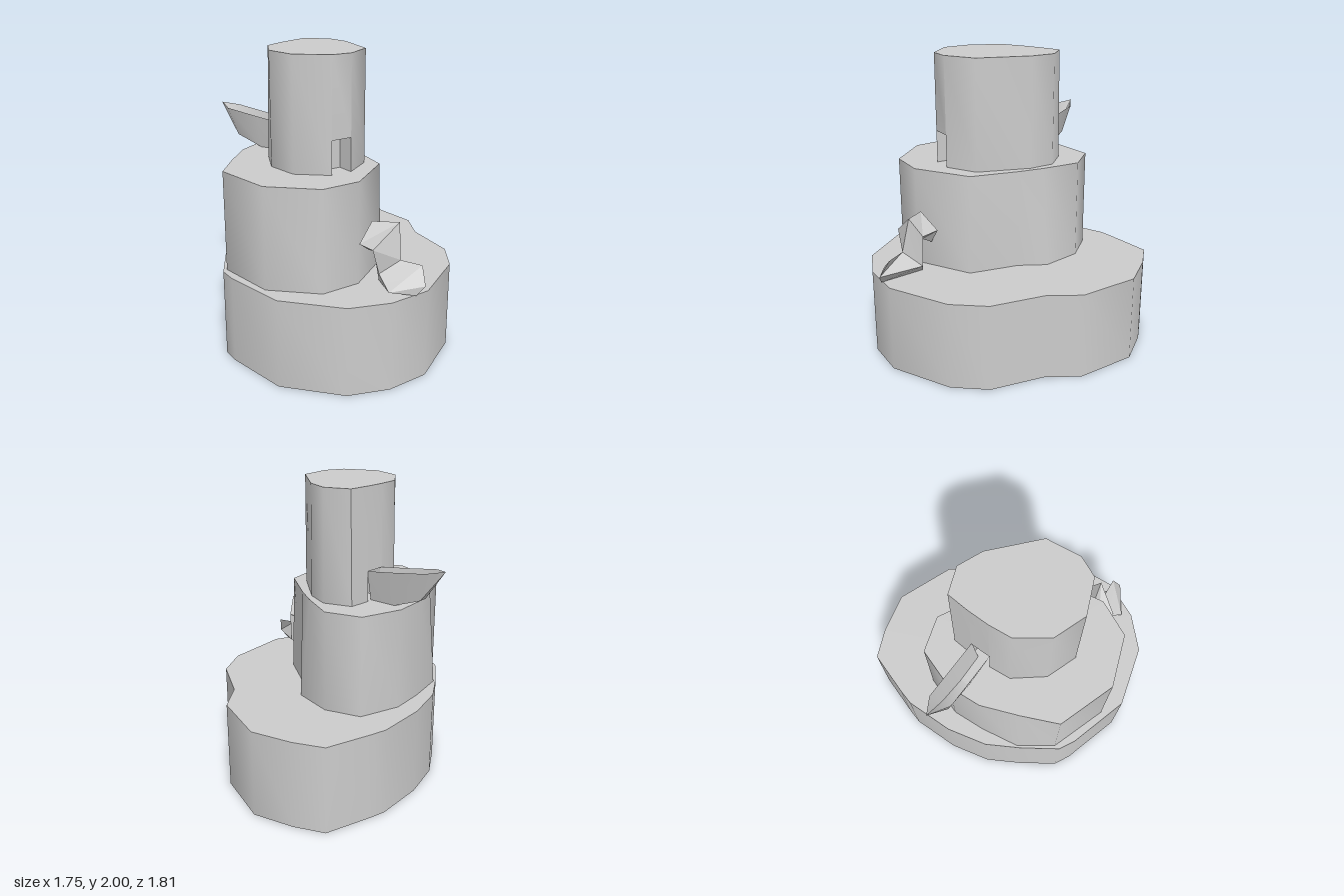
import * as THREE from 'three';
import { toCreasedNormals } from 'three/addons/utils/BufferGeometryUtils.js';

const material = new THREE.MeshStandardMaterial({ color: 0xcccccc });
const thinMaterial = new THREE.MeshStandardMaterial({ color: 0xcccccc, side: THREE.DoubleSide });

// Collects quads and triangles into one mesh; crease is the smoothing angle in radians.
function makeMesh(name, faces, crease, mat = material) {
  const pos = [];
  for (const f of faces) {
    for (let i = 1; i < f.length - 1; i++) pos.push(...f[0], ...f[i], ...f[i + 1]);
  }
  const geo = new THREE.BufferGeometry();
  geo.setAttribute('position', new THREE.Float32BufferAttribute(pos, 3));
  const mesh = new THREE.Mesh(toCreasedNormals(geo, crease), mat);
  mesh.name = name;
  return mesh;
}

// Closed irregular drum between two [x, z] outlines; niches are { index, height }.
function drum(name, y0, y1, top, bottom = top, niches = []) {
  const faces = [];
  const n = top.length;
  const at = ([x, z], y) => [x, y, z];
  const mid = (ring) => [0, 1].map((k) => ring.reduce((s, p) => s + p[k], 0) / n);
  const cTop = mid(top), cBottom = mid(bottom);
  for (let i = 0; i < n; i++) {
    const j = (i + 1) % n;
    const a = at(bottom[i], y0), b = at(bottom[j], y0);
    const c = at(top[j], y1), d = at(top[i], y1);
    const niche = niches.find((k) => k.index === i);
    if (niche) {
      // Wall above the opening, then the recess behind it
      const t = niche.height / (y1 - y0);
      const lerp = (p, q) => p.map((v, k) => v + (q[k] - v) * t);
      const e = lerp(a, d), f = lerp(b, c);
      const inward = new THREE.Vector2(b[2] - a[2], a[0] - b[0]).setLength(-0.12);
      const push = (p) => [p[0] + inward.x, p[1], p[2] + inward.y];
      const [a2, b2, e2, f2] = [a, b, e, f].map(push);
      faces.push([e, d, c, f], [a2, e2, f2, b2], [a, e, e2, a2], [b2, f2, f, b], [e, f, f2, e2]);
    } else {
      faces.push([a, d, c, b]);
    }
    faces.push([at(cTop, y1), c, d], [at(cBottom, y0), a, b]);
  }
  return makeMesh(name, faces, 0.95);
}

// Skin over a list of equal-length cross-sections.
function loft(sections, closed) {
  const faces = [];
  const n = sections[0].length;
  for (let s = 0; s < sections.length - 1; s++) {
    for (let i = 0; i < (closed ? n : n - 1); i++) {
      const j = (i + 1) % n;
      const [p, q] = [sections[s], sections[s + 1]];
      faces.push([p[i], q[i], q[j]], [p[i], q[j], p[j]]);
    }
  }
  return faces;
}

export function createModel() {
  const model = new THREE.Group();
  model.name = 'tieredFountain';

  // Wide base with a shallow waist at the back
  model.add(drum('base', 0, 0.59, [
    [-0.12, -0.91], [0.27, -0.75], [0.41, -0.55], [0.72, -0.34], [0.84, -0.11], [0.865, 0.34],
    [0.74, 0.6], [0.54, 0.79], [0.12, 0.9], [-0.3, 0.77], [-0.41, 0.71], [-0.56, 0.48],
    [-0.68, 0.26], [-0.74, -0.02], [-0.74, -0.36], [-0.71, -0.46], [-0.6, -0.77], [-0.4, -0.85],
  ]));

  // Middle tier, bulging a little at its foot
  const tierTop = [
    [-0.27, -0.39], [-0.03, -0.26], [0.12, -0.16], [0.38, 0.04], [0.44, 0.45], [0.32, 0.69],
    [-0.02, 0.81], [-0.41, 0.67], [-0.51, 0.43], [-0.6, 0.18], [-0.61, -0.05], [-0.51, -0.32],
  ];
  const tierFoot = tierTop.map((p) => [...p]);
  tierFoot[1] = [0, -0.32];
  tierFoot[3] = [0.4, 0.04];
  tierFoot[8] = [-0.56, 0.45];
  model.add(drum('middleTier', 0.59, 1.26, tierTop, tierFoot));

  // Upper column with a niche on each side
  const columnTop = [
    [-0.15, -0.26], [0.01, -0.19], [0.28, 0.06], [0.3, 0.29], [0.235, 0.42], [0.01, 0.51],
    [-0.2, 0.43], [-0.33, 0.24], [-0.34, 0.09], [-0.335, -0.05], [-0.32, -0.2],
  ];
  const columnFoot = columnTop.map(([x, z]) => [x < -0.3 ? x - 0.015 : x, z]);
  model.add(drum('column', 1.26, 2, columnTop, columnFoot, [
    { index: 3, height: 0.22 }, { index: 8, height: 0.2 },
  ]));

  // Open pointed spout: rim, floor, floor, rim at each station
  const station = (xRim, yRim, xKeel, yKeel) => [
    [xRim, yRim, -0.05], [xKeel, yKeel, -0.01], [xKeel, yKeel, 0.05], [xRim, yRim, 0.09],
  ];
  const tip = [-0.88, 1.54, 0.01];
  model.add(makeMesh('spout', loft([
    station(-0.34, 1.46, -0.34, 1.26),
    station(-0.53, 1.485, -0.53, 1.26),
    station(-0.77, 1.52, -0.72, 1.33),
    [tip, tip, tip, tip],
  ], false).filter((f) => new Set(f).size === 3), 0.8, thinMaterial));

  // Bent side pipe stepping down from the tier to the base
  const pipe = [
    [[0.49, 0.99, 0.37], [0.48, 0.88, 0.24], [0.45, 0.77, 0.32], [0.45, 0.86, 0.46]],
    [[0.66, 1.0, 0.33], [0.62, 0.88, 0.25], [0.5, 0.8, 0.36], [0.565, 0.86, 0.51]],
    [[0.69, 0.77, 0.37], [0.62, 0.67, 0.26], [0.53, 0.59, 0.34], [0.585, 0.69, 0.46]],
    [[0.83, 0.76, 0.36], [0.875, 0.65, 0.41], [0.83, 0.59, 0.44], [0.69, 0.62, 0.54]],
  ];
  const pipeFaces = loft(pipe, true);
  pipeFaces.push(pipe[0], [...pipe[3]].reverse());
  model.add(makeMesh('sidePipe', pipeFaces, 0.3, thinMaterial));

  return model;
}
